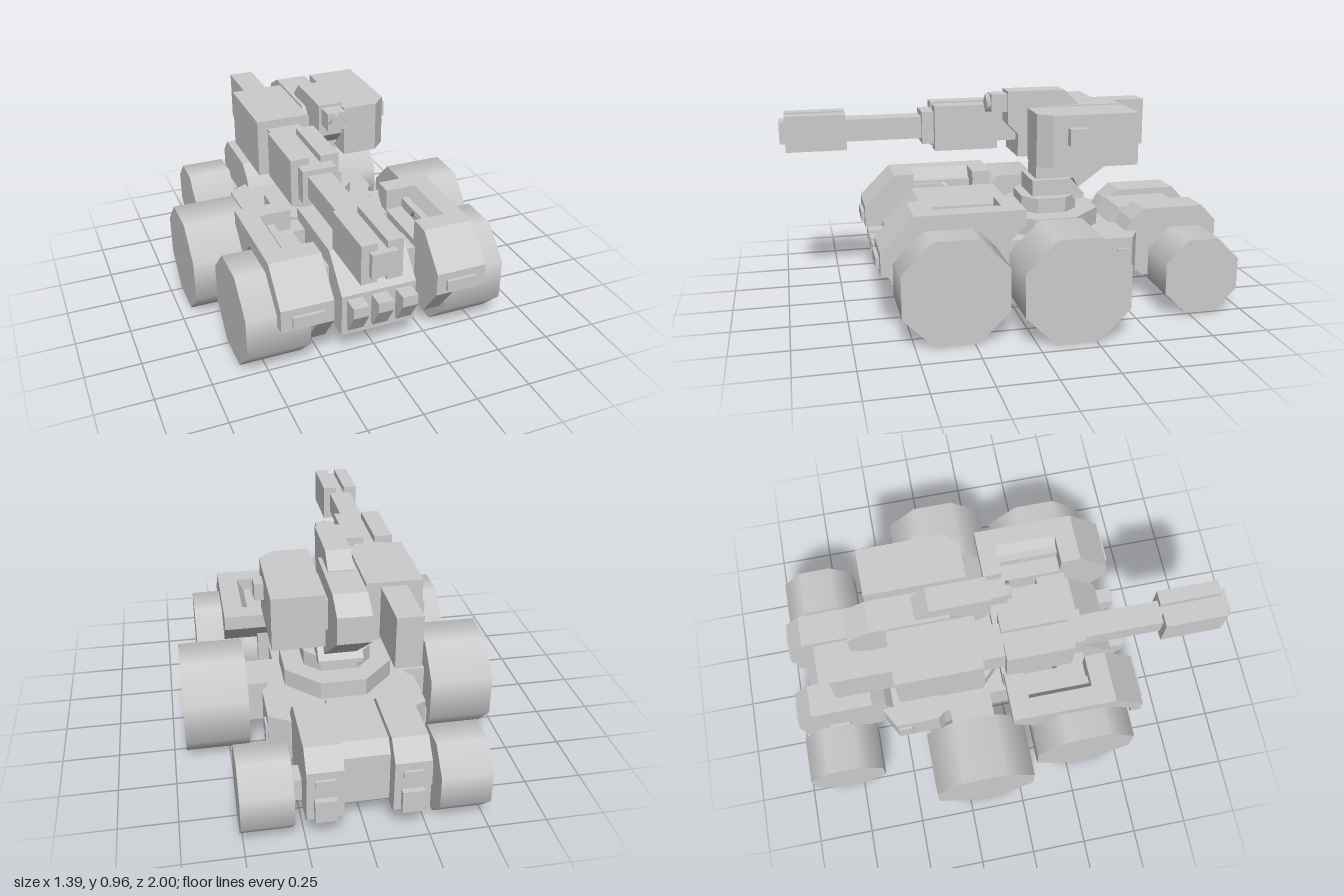
import * as THREE from 'three';

const mat = new THREE.MeshStandardMaterial({ color: 0xcccccc });

export function createModel() {
  const root = new THREE.Group();
  root.name = 'sixWheeledTank';

  const add = (name, geo) => {
    const mesh = new THREE.Mesh(geo, mat);
    mesh.name = name;
    root.add(mesh);
    return mesh;
  };
  const extrude = (pts, depth) => new THREE.ExtrudeGeometry(
    new THREE.Shape(pts.map(([a, b]) => new THREE.Vector2(a, b))), { depth, bevelEnabled: false });

  // Box given by its limits on each axis
  const box = (name, xa, xb, ya, yb, za, zb) => add(name,
    new THREE.BoxGeometry(Math.abs(xb - xa), yb - ya, Math.abs(zb - za))
      .translate((xa + xb) / 2, (ya + yb) / 2, (za + zb) / 2));
  // Side profile of [z, y] points, extruded across x
  const side = (name, xa, xb, pts) => add(name,
    extrude(pts, Math.abs(xb - xa)).rotateY(-Math.PI / 2).translate(Math.max(xa, xb), 0, 0));
  // Plan outline of [x, z] points, extruded up y
  const plan = (name, ya, yb, pts) => add(name,
    extrude(pts.map(([x, z]) => [x, -z]), yb - ya).rotateX(-Math.PI / 2).translate(0, ya, 0));
  const mirrored = pts => [...pts, ...pts.map(([x, z]) => [-x, z]).reverse()];

  // Smooth-sided octagonal wheel
  const wheel = (name, s, xa, xb, y, z, half) => add(name,
    new THREE.CylinderGeometry(half / Math.cos(Math.PI / 8), half / Math.cos(Math.PI / 8), xb - xa, 8)
      .rotateY(Math.PI / 8).rotateZ(Math.PI / 2).translate(s * (xa + xb) / 2, y, z));

  // Hull
  side('frontHull', -0.175, 0.175, [[0, 0.13], [0.545, 0.13], [0.545, 0.33], [0.4, 0.48], [0, 0.48]]);
  plan('middleHull', 0.13, 0.33, mirrored([
    [0.27, 0.06], [0.27, -0.1], [0.32, -0.3], [0.345, -0.33], [0.345, -0.53], [0.26, -0.58]]));
  side('rearHull', -0.1, 0.1, [
    [-0.5, 0.13], [-0.5, 0.33], [-0.55, 0.4], [-0.855, 0.4], [-0.9, 0.35], [-0.9, 0.13]]);
  for (const x of [-0.115, 0, 0.115]) {
    side('frontVent', x - 0.036, x + 0.036, [
      [0.54, 0.16], [0.56, 0.16], [0.62, 0.26], [0.62, 0.31], [0.54, 0.31]]);
  }

  // Turret ring and pedestal
  plan('turretRing', 0.32, 0.41, mirrored([[0.1, 0.04], [0.24, -0.1], [0.24, -0.3], [0.1, -0.44]]));
  plan('turretRingStep', 0.41, 0.48, mirrored([[0.08, -0.08], [0.15, -0.14], [0.15, -0.27], [0.08, -0.34]]));
  side('pedestal', -0.1, 0.1, [[-0.125, 0.46], [-0.125, 0.555], [-0.31, 0.555], [-0.375, 0.48], [-0.375, 0.46]]);

  for (const s of [1, -1]) {
    // Wheels and axles
    wheel('frontWheel', s, 0.32, 0.605, 0.23, 0.325, 0.228);
    wheel('middleWheel', s, 0.41, 0.695, 0.23, -0.17, 0.228);
    wheel('rearWheel', s, 0.295, 0.51, 0.18, -0.8, 0.17);
    box('middleAxle', s * 0.25, s * 0.42, 0.14, 0.33, -0.27, -0.07);
    box('rearAxle', s * 0.24, s * 0.3, 0.13, 0.23, -0.85, -0.75);
    box('frontAxle', s * 0.17, s * 0.33, 0.16, 0.4, 0.26, 0.4);
    box('hullSideLink', s * 0.17, s * 0.25, 0.13, 0.42, 0, 0.1);

    // Front fender: inner wall, arched notched strip and outer arched strip
    const notch = y => [[0.38, 0.53], [0.38, y], [0.09, y], [0.09, 0.53]];
    const nose = [[0.62, 0.28], [0.62, 0.385], [0.475, 0.53]];
    const arch = [[0, 0.53], [0, 0.465], [0.11, 0.355], [0.215, 0.465], [0.435, 0.465], [0.57, 0.335], [0.57, 0.28]];
    side('fenderInnerWall', s * 0.24, s * 0.32, [
      [0.51, 0.13], ...nose, ...notch(0.43), [0, 0.53], [0, 0.465], [0.06, 0.4], [0.06, 0.13]]);
    side('fenderNotchedStrip', s * 0.32, s * 0.385, [...nose, ...notch(0.475), ...arch]);
    side('fenderOuterStrip', s * 0.385, s * 0.475, [...nose, ...arch]);
    add('fenderNotchSlope', extrude([[s * 0.385, 0.53], [s * 0.385, 0.47], [s * 0.335, 0.44]], 0.29).translate(0, 0, 0.09));
    box('headlight', s * 0.285, s * 0.425, 0.3, 0.35, 0.61, 0.635);

    // Rear pods
    side('rearPod', s * 0.1, s * 0.25, [
      [-0.5, 0.13], [-0.5, 0.28], [-0.56, 0.38], [-0.62, 0.43], [-0.905, 0.43],
      [-0.975, 0.355], [-0.975, 0.13], [-0.95, 0.11], [-0.62, 0.11], [-0.6, 0.13]]);
    box('tailPlate', s * 0.13, s * 0.22, 0.13, 0.23, -1, -0.96);
    box('tailLight', s * 0.135, s * 0.215, 0.29, 0.32, -0.988, -0.96);
    box('hullSideBlock', s * 0.27, s * 0.355, 0.18, 0.28, -0.52, -0.46);
  }

  // Turret neck with its raked rear
  side('turretNeck', -0.072, 0.072, [
    [-0.15, 0.55], [-0.15, 0.85], [-0.2, 0.895], [-0.55, 0.895], [-0.65, 0.84], [-0.65, 0.72], [-0.355, 0.505], [-0.33, 0.55]]);
  side('turretHead', -0.055, 0.055, [
    [-0.02, 0.815], [-0.02, 0.965], [-0.285, 0.965], [-0.35, 0.9], [-0.35, 0.755], [-0.08, 0.755]]);
  box('sightHousing', -0.042, 0.042, 0.87, 0.952, -0.03, 0.055);
  add('sightLens', new THREE.CylinderGeometry(0.042, 0.042, 0.03, 4)
    .rotateX(Math.PI / 2).translate(0, 0.91, 0.06));

  // Pod on the left of the turret
  plan('sidePod', 0.66, 0.895, [[0.1, -0.1], [0.26, -0.1], [0.32, -0.16], [0.32, -0.55], [0.1, -0.55]]);
  box('sidePodLink', 0.06, 0.11, 0.68, 0.82, -0.45, -0.2);
  box('sidePodStud', 0.31, 0.36, 0.765, 0.84, -0.3, -0.225);

  // Cannon on the right of the turret
  const cx = -0.197;
  box('cannonBreech', -0.32, -0.08, 0.63, 0.895, -0.48, -0.1);
  box('cannonCounterweight', cx - 0.055, cx + 0.055, 0.65, 0.875, -0.75, -0.47);
  box('cannonCore', cx - 0.075, cx + 0.075, 0.705, 0.855, -0.12, 0.35);
  box('cannonBarrel', cx - 0.052, cx + 0.052, 0.728, 0.83, 0.34, 1);
  for (const s of [1, -1]) {
    box('sleevePlate', cx + s * 0.025, cx + s * 0.107, 0.675, 0.885, 0, 0.295);
    box('muzzlePlate', cx + s * 0.02, cx + s * 0.084, 0.695, 0.86, 0.7, 0.975);
  }
  return root;
}
